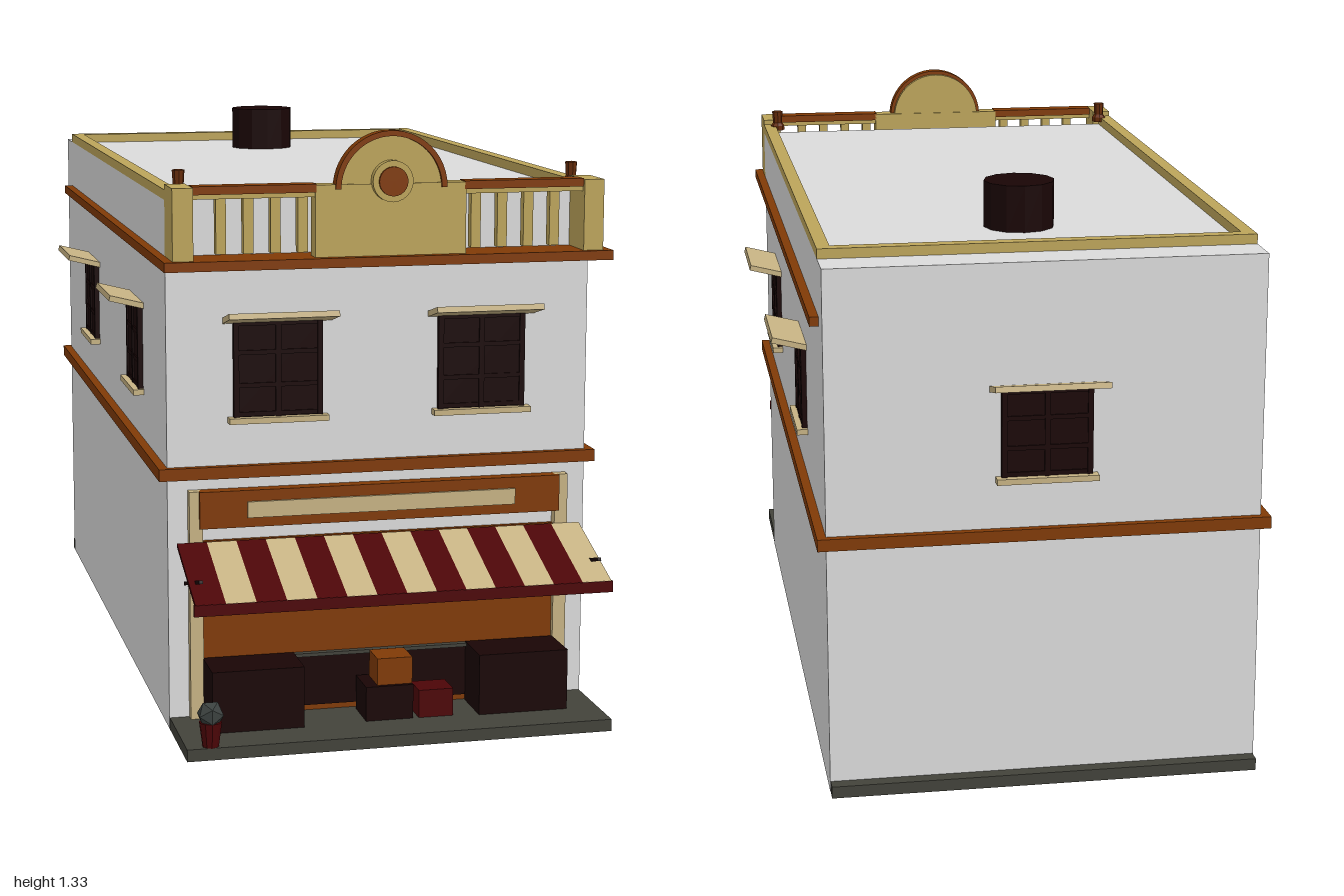
import * as THREE from 'three';

const mat = (name, color, extra = {}) => Object.assign(new THREE.MeshStandardMaterial({ color, ...extra }), { name });

export function createModel() {
  const plaster = mat('plaster', 0xdadada);
  const ochre = mat('ochre stone', 0xbca45a);
  const cream = mat('cream', 0xc6b283);
  const brown = mat('brown wood', 0x803a06);
  const darkBrown = mat('dark brown', 0x662c0a, { flatShading: true });
  const dark = mat('dark wood', 0x190505, { flatShading: true });
  const red = mat('red cloth', 0x4c0507, { flatShading: true });
  const slate = mat('slate', 0x42423a);
  const leaf = mat('leaf', 0x3a403e, { flatShading: true });

  const model = new THREE.Group();
  model.name = 'shopBuilding';

  const add = (parent, name, geometry, material) => {
    const m = new THREE.Mesh(geometry, material);
    m.name = name;
    parent.add(m);
    return m;
  };
  // Box given by its two extreme corners
  const box = (name, material, x0, x1, y0, y1, z0, z1, parent = model) => {
    const m = add(parent, name, new THREE.BoxGeometry(x1 - x0, y1 - y0, z1 - z0), material);
    m.position.set((x0 + x1) / 2, (y0 + y1) / 2, (z0 + z1) / 2);
    return m;
  };

  // Main volume
  box('baseSlab', slate, -0.479, 0.479, 0, 0.027, -0.945, 0.975);
  box('walls', plaster, -0.48, 0.48, 0.002, 1.186, -0.915, 0.75);
  box('lowerCornice', brown, -0.5, 0.5, 0.57, 0.597, -0.932, 0.766);
  box('upperCornice', brown, -0.5, 0.5, 1.043, 1.064, -0.835, 0.863);

  // Roof edge
  for (const s of [-1, 1])
    box('roofEdgeSide', ochre, s * 0.465 - 0.015, s * 0.465 + 0.015, 1.186, 1.208, -0.82, 0.75);
  box('roofEdgeBack', ochre, -0.45, 0.45, 1.186, 1.208, -0.82, -0.79);
  const vent = add(model, 'roofVent', new THREE.CylinderGeometry(0.08, 0.08, 0.106, 12), dark);
  vent.position.set(0, 1.238, -0.55);

  // Front balustrade
  for (const s of [-1, 1]) {
    const part = (name, m, a, b, y0, y1, z0, z1) =>
      box(name, m, Math.min(s * a, s * b), Math.max(s * a, s * b), y0, y1, z0, z1);
    part('cornerPillar', ochre, 0.435, 0.48, 1.064, 1.22, 0.75, 0.85);
    part('topRail', brown, 0.165, 0.435, 1.204, 1.222, 0.8, 0.842);
    part('underRail', ochre, 0.165, 0.435, 1.194, 1.204, 0.805, 0.837);
    for (let i = 0; i < 4; i++) {
      const x = 0.193 + i * 0.0597;
      part('baluster', ochre, x - 0.011, x + 0.011, 1.075, 1.195, 0.81, 0.832);
    }
    const finial = add(model, 'finial', new THREE.LatheGeometry(
      [[0, 0], [0.018, 0], [0.018, 0.012], [0.012, 0.02], [0.014, 0.05], [0, 0.052]]
        .map(([x, y]) => new THREE.Vector2(x, y)), 8), darkBrown);
    finial.position.set(s * 0.445, 1.198, 0.725);
  }

  // Central gable with arch and medallion
  box('gableBlock', ochre, -0.168, 0.168, 1.064, 1.22, 0.8, 0.842);
  const arch = new THREE.Shape();
  arch.absarc(0, 0, 0.115, 0, Math.PI);
  const archMesh = add(model, 'gableArch',
    new THREE.ExtrudeGeometry(arch, { depth: 0.036, bevelEnabled: false, curveSegments: 24 }), ochre);
  archMesh.position.set(0, 1.21, 0.803);
  const rim = new THREE.Shape();
  rim.absarc(0, 0, 0.124, 0, Math.PI);
  rim.absarc(0, 0, 0.112, Math.PI, 0, true);
  const rimMesh = add(model, 'archTrim',
    new THREE.ExtrudeGeometry(rim, { depth: 0.03, bevelEnabled: false, curveSegments: 24 }), brown);
  rimMesh.position.set(0, 1.21, 0.817);
  for (const [name, r, z, m] of [['medallionRing', 0.045, 0.848, ochre], ['medallionDisc', 0.032, 0.854, brown]]) {
    const disc = add(model, name, new THREE.CylinderGeometry(r, r, 0.02, 24), m);
    disc.rotation.x = Math.PI / 2;
    disc.position.set(0, 1.226, z);
  }

  // Shuttered windows with a raised hood and a sill, facing +z before turning
  const addWindow = (x, z, turn, w, hoodW, bottom, top) => {
    const g = new THREE.Group();
    g.name = 'window';
    box('shutters', dark, -w / 2, w / 2, bottom, top, -0.01, 0.008, g);
    for (const fx of [-w / 2 + 0.006, 0, w / 2 - 0.006])
      box('shutterStile', dark, fx - 0.006, fx + 0.006, bottom, top, 0.008, 0.012, g);
    for (const f of [0.03, 0.33, 0.67, 0.97]) {
      const fy = bottom + f * (top - bottom);
      box('shutterRail', dark, -w / 2, w / 2, fy - 0.005, fy + 0.005, 0.008, 0.011, g);
    }
    box('sill', cream, -w / 2 - 0.012, w / 2 + 0.012, bottom - 0.013, bottom, -0.01, 0.025, g);
    const hood = box('hood', cream, -hoodW / 2, hoodW / 2, top + 0.003, top + 0.016, -0.006, 0.08, g);
    hood.rotation.x = -0.25;
    g.position.set(x, 0, z);
    g.rotation.y = turn;
    model.add(g);
  };
  for (const s of [-1, 1]) {
    addWindow(s * 0.232, 0.75, 0, 0.2, 0.245, 0.705, 0.919);
    for (const z of [0.333, -0.401]) addWindow(s * 0.48, z, s * Math.PI / 2, 0.18, 0.222, 0.715, 0.911);
  }
  addWindow(0, -0.915, Math.PI, 0.2, 0.25, 0.715, 0.911);

  // Shop front
  box('shopPanel', brown, -0.405, 0.405, 0.027, 0.43, 0.74, 0.76);
  for (const s of [-1, 1])
    box('pilaster', cream, s * 0.42 - 0.015, s * 0.42 + 0.015, 0.027, 0.545, 0.74, 0.772);
  box('signBoard', brown, -0.413, 0.413, 0.462, 0.545, 0.74, 0.78);
  box('signPlate', cream, -0.307, 0.307, 0.484, 0.52, 0.78, 0.786);
  box('lowerPanel', dark, -0.2, 0.2, 0.04, 0.155, 0.755, 0.766);
  box('panelLedge', slate, -0.2, 0.2, 0.155, 0.163, 0.755, 0.775);

  // Crates in front
  for (const s of [-1, 1])
    box('counter', dark, s * 0.303 - 0.103, s * 0.303 + 0.103, 0.027, 0.165, 0.765, 0.88);
  box('darkCrate', dark, -0.058, 0.05, 0.027, 0.105, 0.775, 0.87);
  box('brownCrate', brown, -0.03, 0.05, 0.105, 0.166, 0.785, 0.86);
  box('redCrate', red, 0.063, 0.142, 0.027, 0.09, 0.8, 0.87);

  // Striped awning
  const awning = new THREE.Group();
  awning.name = 'awning';
  const count = 14, stripe = 0.926 / count;
  for (let i = 0; i < count; i++) {
    const x = -0.463 + i * stripe;
    box('awningStripe', i % 2 ? cream : red, x, x + stripe, -0.004, 0.004, -0.12, 0.12, awning);
  }
  awning.position.set(0, 0.388, 0.884);
  awning.rotation.x = 0.335;
  model.add(awning);
  box('valance', red, -0.466, 0.466, 0.327, 0.352, 0.991, 1.0);
  for (const s of [-1, 1]) {
    const strut = box('awningStrut', dark, s * 0.445 - 0.004, s * 0.445 + 0.004, 0.364, 0.372, 0.775, 0.971);
    strut.rotation.x = -0.27;
  }

  // Potted plant
  const pot = add(model, 'plantPot', new THREE.CylinderGeometry(0.025, 0.018, 0.055, 10), red);
  pot.position.set(-0.425, 0.054, 0.958);
  const bush = add(model, 'plantLeaves', new THREE.IcosahedronGeometry(0.031), leaf);
  bush.position.set(-0.425, 0.098, 0.958);

  return model;
}
